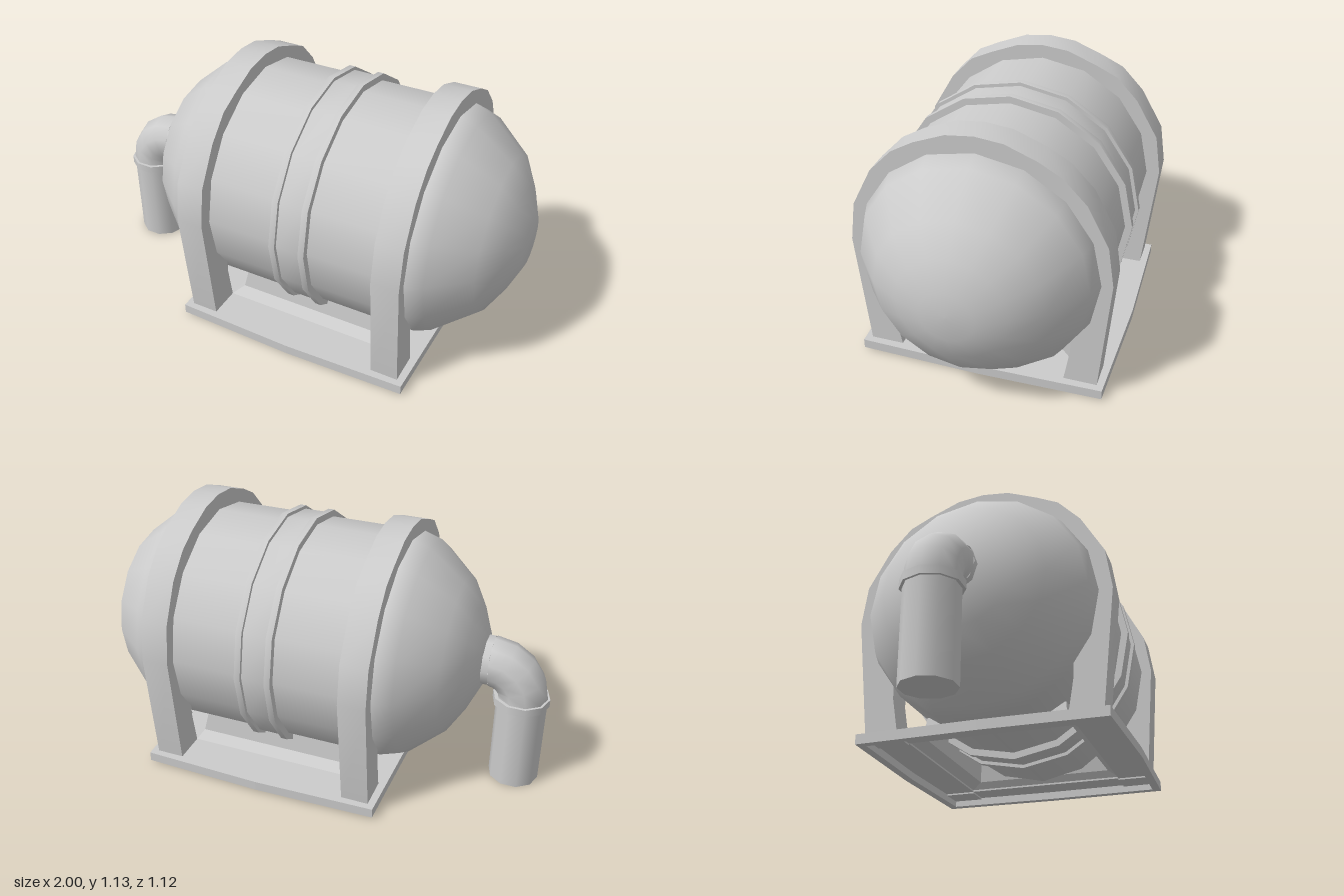
import * as THREE from 'three';
import { toCreasedNormals } from 'three/addons/utils/BufferGeometryUtils.js';

const material = new THREE.MeshStandardMaterial({ color: 0xcccccc, side: THREE.DoubleSide });
const AXIS_Y = 0.56;
const SIDES = 16;

const vectors = (list) => list.map(([x, y]) => new THREE.Vector2(x, y));

function addMesh(parent, name, geometry, x = 0, y = 0, z = 0) {
  const mesh = new THREE.Mesh(geometry, material);
  mesh.name = name;
  mesh.position.set(x, y, z);
  parent.add(mesh);
  return mesh;
}

// Turned shape lying along x; the profile is a list of [x, radius]
function turned(profile, crease) {
  const geometry = new THREE.LatheGeometry(vectors(profile.map(([x, r]) => [r, x])), SIDES);
  geometry.rotateZ(-Math.PI / 2);
  return crease ? toCreasedNormals(geometry, 0.7) : geometry;
}

// Rectangle with slightly bowed sides
function bowedOutline(inset) {
  const cx = 0.535 - inset, mx = 0.545 - inset, cz = 0.53 - inset, mz = 0.545 - inset;
  return vectors([[cx, -cz], [mx, 0], [cx, cz], [0, mz], [-cx, cz], [-mx, 0], [-cx, -cz], [0, -mz]]);
}

// Horizontal slab with a hole
function slab(outline, hole, depth) {
  const shape = new THREE.Shape(outline);
  shape.holes.push(new THREE.Path(hole));
  return new THREE.ExtrudeGeometry(shape, { depth, bevelEnabled: false }).rotateX(-Math.PI / 2);
}

// Saddle strap: two tapered legs joined by an arch over the tank
function strapGeometry(reach, top) {
  const outer = [[0.5, 0.035], [reach, 0.565], [reach - 0.025, 0.74], [0.435, 0.91],
    [0.34, 1.01], [0.245, top - 0.065], [0.115, top - 0.013]];
  const inner = [[0.36, 0.035], [0.36, 0.05], [0.385, 0.2]];
  for (let i = 0; i < 6; i++) {
    const a = -0.65 + i * (Math.PI / 2 + 0.65) / 6;
    inner.push([0.485 * Math.cos(a), AXIS_Y + 0.485 * Math.sin(a)]);
  }
  const mirror = (list) => list.map(([x, y]) => [-x, y]);
  const points = [...outer, [0, top], ...mirror(outer).reverse(),
    ...mirror(inner), [0, AXIS_Y + 0.485], ...inner.slice().reverse()];
  const geometry = new THREE.ExtrudeGeometry(new THREE.Shape(vectors(points)),
    { depth: 0.12, bevelEnabled: false });
  return toCreasedNormals(geometry.rotateY(Math.PI / 2), 0.5);
}

// Flared skirt lofted through rectangular rings [y, xMin, xMax, halfZ]
function skirtGeometry() {
  const rings = [[0.05, -0.24, 0.53, 0.36], [0.08, -0.2, 0.51, 0.315], [0.17, -0.18, 0.49, 0.305]];
  const positions = [], index = [];
  for (const [y, a, b, z] of rings) positions.push(a, y, z, b, y, z, b, y, -z, a, y, -z);
  for (let r = 0; r < rings.length - 1; r++) {
    for (let i = 0; i < 4; i++) {
      const p = r * 4 + i, q = r * 4 + (i + 1) % 4;
      index.push(p, q, q + 4, p, q + 4, p + 4);
    }
  }
  const geometry = new THREE.BufferGeometry();
  geometry.setAttribute('position', new THREE.Float32BufferAttribute(positions, 3));
  geometry.setIndex(index);
  return toCreasedNormals(geometry, 0.3);
}

export function createModel() {
  const model = new THREE.Group();
  model.name = 'storageTank';

  // Tank body with domed ends
  addMesh(model, 'tank', turned([[-0.72, 0], [-0.71, 0.115], [-0.66, 0.23], [-0.59, 0.345], [-0.44, 0.475],
    [-0.36, 0.5], [0.65, 0.5], [0.72, 0.475], [0.88, 0.345], [0.95, 0.225], [0.998, 0.11], [1, 0]]), 0, AXIS_Y);

  // Raised sleeve between two thin bands
  addMesh(model, 'sleeve', turned([[0.09, 0.49], [0.09, 0.515], [0.2, 0.515], [0.2, 0.49]], true), 0, AXIS_Y);
  for (const x of [0.065, 0.2]) {
    addMesh(model, 'band', turned([[0, 0.49], [0, 0.53], [0.027, 0.53], [0.027, 0.49]], true), x, AXIS_Y);
  }

  // Saddle straps
  addMesh(model, 'rightStrap', strapGeometry(0.558, 1.12), -0.36);
  addMesh(model, 'leftStrap', strapGeometry(0.546, 1.13), 0.53);

  // Base: open rim, thin deck and flared skirt under the tank
  addMesh(model, 'baseRim', slab(bowedOutline(0), bowedOutline(0.035), 0.043), 0.145, 0.008);
  const opening = vectors([[-0.385, -0.36], [0.385, -0.36], [0.385, 0.36], [-0.385, 0.36]]);
  addMesh(model, 'baseDeck', slab(bowedOutline(0.01), opening, 0.008), 0.145, 0.042);
  addMesh(model, 'skirt', skirtGeometry());

  // Outlet pipe: stub, elbow, collar and downpipe
  const pipe = new THREE.Group();
  pipe.name = 'outletPipe';
  model.add(pipe);
  addMesh(pipe, 'stub', new THREE.CylinderGeometry(0.11, 0.11, 0.06, 10, 1, true).rotateZ(Math.PI / 2), -0.71, AXIS_Y);
  addMesh(pipe, 'elbow', new THREE.TorusGeometry(0.14, 0.11, 10, 4, Math.PI / 2).rotateZ(Math.PI / 2), -0.74, 0.42);
  addMesh(pipe, 'collar', new THREE.CylinderGeometry(0.123, 0.123, 0.035, 10).rotateY(Math.PI / 2), -0.877, 0.403);
  addMesh(pipe, 'downpipe', new THREE.CylinderGeometry(0.11, 0.11, 0.4, 10).rotateY(Math.PI / 2), -0.88, 0.2);

  return model;
}
